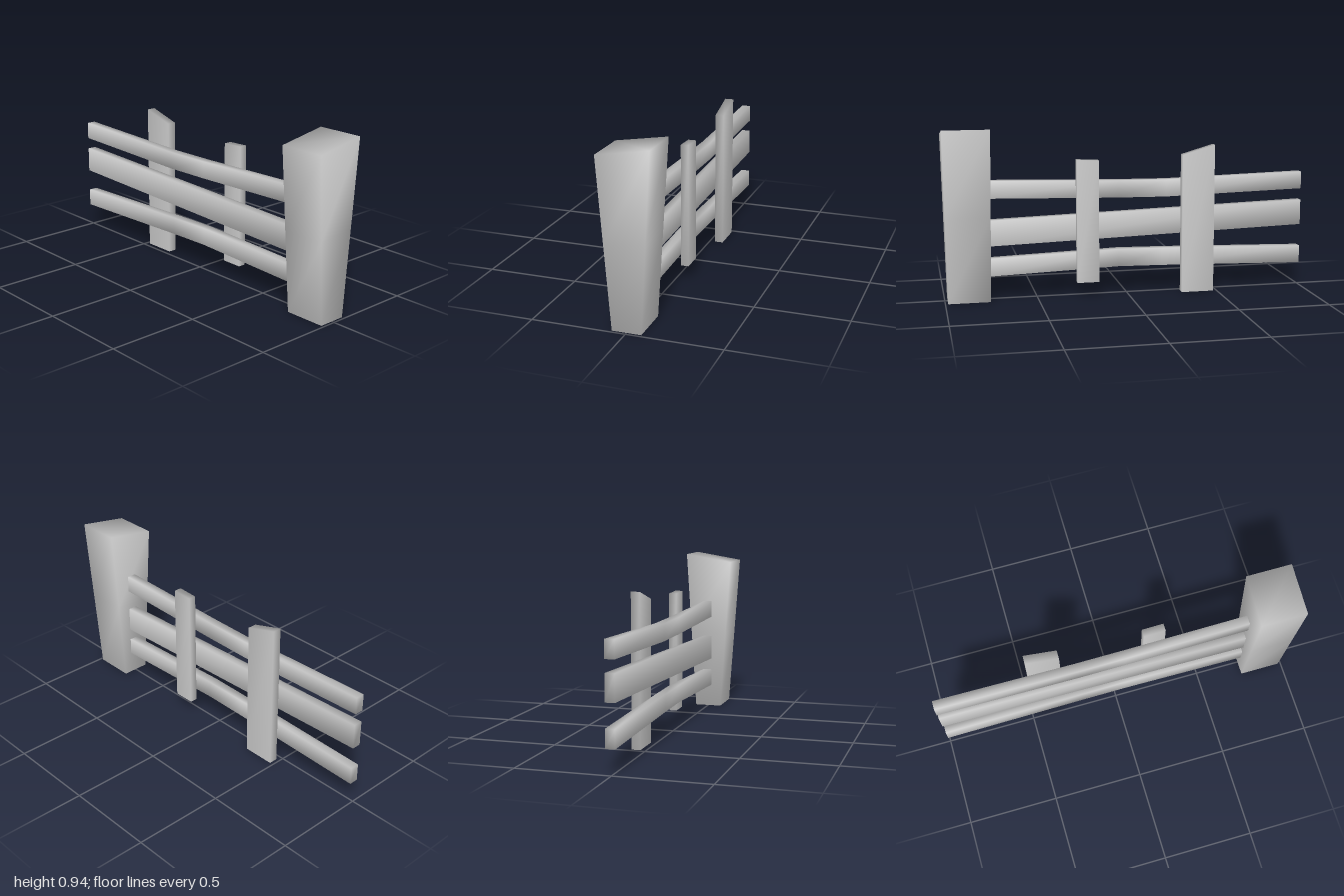
import * as THREE from 'three';
import { mergeVertices } from 'three/addons/utils/BufferGeometryUtils.js';

const material = new THREE.MeshStandardMaterial({ color: 0xcccccc });

// Box whose corners are moved by a rule; shared corners give soft, rounded shading.
// The rule receives u, v, w in 0..1 along x, y, z and returns [x, y, z].
function plank(name, segX, segY, rule) {
  let geo = new THREE.BoxGeometry(1, 1, 1, segX, segY, 1);
  geo.deleteAttribute('normal');
  geo.deleteAttribute('uv');
  geo = mergeVertices(geo);
  const p = geo.attributes.position;
  for (let i = 0; i < p.count; i++) {
    p.setXYZ(i, ...rule(p.getX(i) + 0.5, p.getY(i) + 0.5, p.getZ(i) + 0.5));
  }
  geo.computeVertexNormals();
  const mesh = new THREE.Mesh(geo, material);
  mesh.name = name;
  return mesh;
}

const lerp = THREE.MathUtils.lerp;

// Rail running along x through [x, centre y] stations
function rail(name, height, stations) {
  const n = stations.length - 1;
  return plank(name, n, 1, (u, v, w) => {
    const [x, y] = stations[Math.round(u * n)];
    return [x, y + (v - 0.5) * height, lerp(-0.03, 0.02, w)];
  });
}

// Upright board behind the rails with a slanted top
function picket(name, x0, x1, bottom, topLeft, topRight, back) {
  return plank(name, 1, 1, (u, v, w) => [
    lerp(x0, x1, u),
    lerp(bottom, lerp(topLeft, topRight, u), v),
    lerp(back, -0.03, w),
  ]);
}

export function createModel() {
  const group = new THREE.Group();
  group.name = 'fence';

  // Thick end post, flaring upward, top sloping down to the front
  group.add(plank('post', 1, 2, (u, v, w) => [
    lerp(lerp(0.757, 0.748, v), lerp(0.985, 1, v), u),
    v * lerp(0.935, 0.89, w),
    (w - 0.5) * 2 * lerp(0.077, 0.137, v),
  ]));

  // Horizontal rails, slightly bent
  group.add(
    rail('topRail', 0.095, [[-1, 0.603], [-0.22, 0.582], [0.05, 0.585], [0.78, 0.603]]),
    rail('middleRail', 0.14, [[-1, 0.42], [0.78, 0.364]]),
    rail('bottomRail', 0.097, [[-1, 0.177], [-0.2, 0.198], [0.05, 0.202], [0.78, 0.177]]),
  );

  // Upright boards
  group.add(
    picket('widePicket', -0.48, -0.3, 0, 0.82, 0.768, -0.078),
    picket('narrowPicket', 0.165, 0.285, 0.08, 0.75, 0.755, -0.072),
  );
  return group;
}
